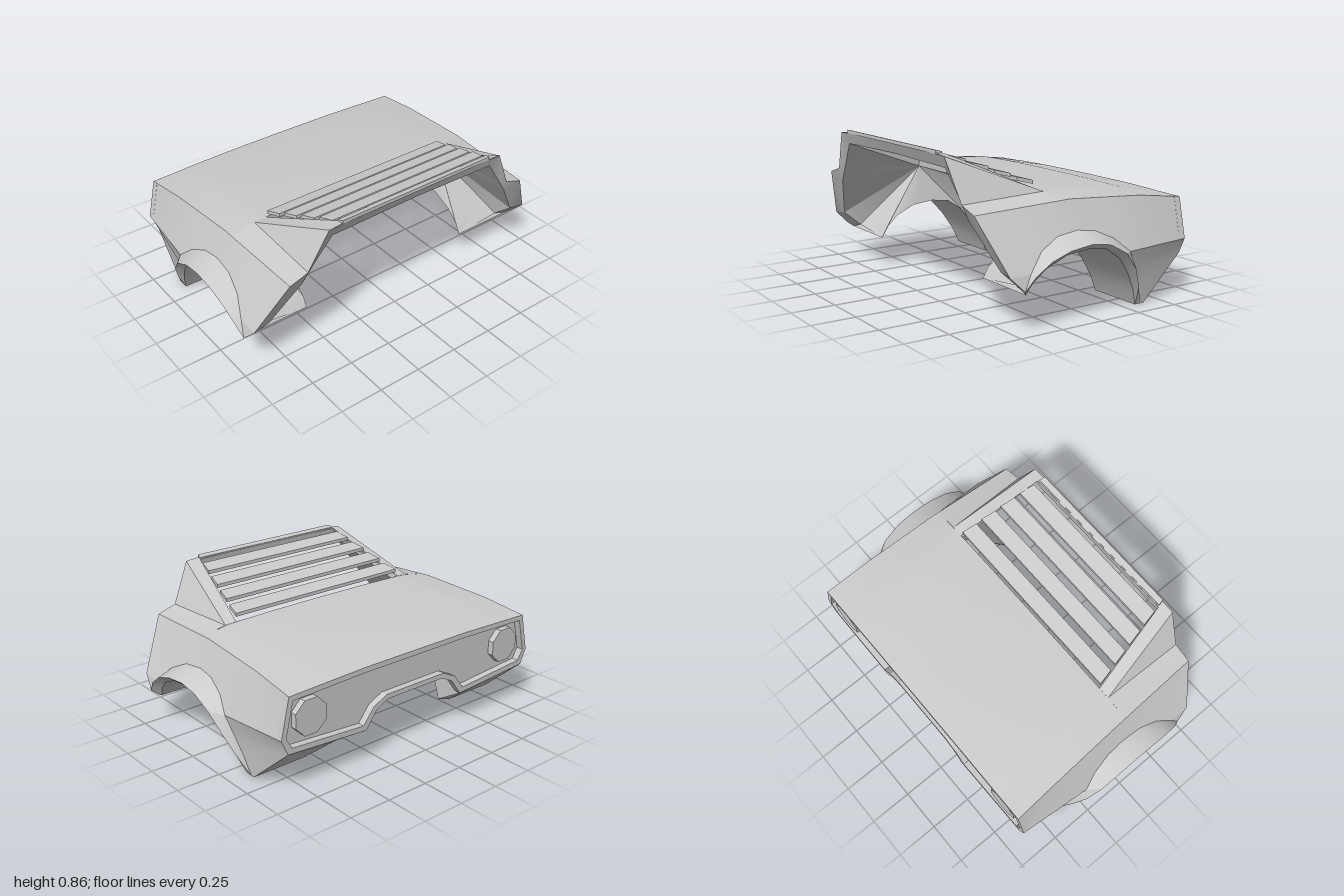
import * as THREE from 'three';
import { toCreasedNormals } from 'three/addons/utils/BufferGeometryUtils.js';

const material = new THREE.MeshStandardMaterial({ color: 0xcccccc, side: THREE.DoubleSide });

// Skin between rows of [x, y, z] points, with its mirror image in x
function loft(name, rows) {
  const pos = [];
  const tri = (...pts) => {
    const [a, b, c] = pts.map((p) => new THREE.Vector3(...p));
    if (b.clone().sub(a).cross(c.clone().sub(a)).length() < 1e-6) return;
    for (const p of pts) pos.push(...p);
    for (const i of [0, 2, 1]) pos.push(-pts[i][0], pts[i][1], pts[i][2]);
  };
  for (let r = 0; r + 1 < rows.length; r++) {
    for (let i = 0; i + 1 < rows[r].length; i++) {
      const a = rows[r][i], b = rows[r][i + 1], c = rows[r + 1][i + 1], d = rows[r + 1][i];
      tri(a, b, c);
      tri(a, c, d);
    }
  }
  const geo = new THREE.BufferGeometry();
  geo.setAttribute('position', new THREE.Float32BufferAttribute(pos, 3));
  const mesh = new THREE.Mesh(toCreasedNormals(geo, 0.4), material);
  mesh.name = name;
  return mesh;
}
const fan = (name, p, pts) => loft(name, [pts.map(() => p), pts]);

// Height and half width of the shoulder line along z
function shoulder(z) {
  const keys = [[0.63, 0.578], [0.07, 0.605], [-0.38, 0.58], [-0.66, 0.545]];
  let i = 0;
  while (i < 2 && z < keys[i + 1][0]) i++;
  const [z0, y0] = keys[i], [z1, y1] = keys[i + 1];
  return [0.79 + (0.63 - z) * 0.0465, y0 + ((y1 - y0) * (z - z0)) / (z1 - z0), z];
}

export function createModel() {
  const model = new THREE.Group();
  const add = (...m) => model.add(...m);

  // Rear deck, slightly crowned
  const deckRow = (z, top) => [[0, top, z], [0.36, top - 0.002, z], [0.6, top - 0.008, z], [0.67, top - 0.012, z], shoulder(z)];
  add(loft('rearDeck', [deckRow(-0.66, 0.562), deckRow(-0.38, 0.612), deckRow(0.07, 0.635), deckRow(0.13, 0.639)]));

  // Sloping window frame, side buttresses and shelves
  const deckIn = [0.6, 0.632, 0.13], deckOut = [0.67, 0.628, 0.13];
  const roofIn = [0.5, 0.845, 0.62], roofOut = [0.57, 0.84, 0.66], shelfIn = [0.68, 0.612, 0.63];
  add(loft('windowFrame', [[deckIn, roofIn, [0.3, 0.85, 0.62], [0, 0.851, 0.62]],
    [deckOut, roofOut, [0.36, 0.856, 0.66], [0, 0.858, 0.66]]]));
  add(fan('buttress', deckOut, [roofOut, shelfIn]));
  add(loft('shelf', [[deckOut, shelfIn], [shoulder(0.13), shoulder(0.63)]]));

  // Walls of the window opening
  const bay = [0.6, 0.59, 0.13], headIn = [0.53, 0.775, 0.63];
  add(loft('openingWall', [[[0, 0.639, 0.13], deckIn, roofIn, [0, 0.851, 0.62]],
    [[0, 0.59, 0.13], bay, headIn, [0, 0.785, 0.63]]]));

  // Louvre slats, narrowing towards the roof
  for (let i = 0; i < 5; i++) {
    const z0 = 0.139 + 0.122 * i, y0 = 0.676 + 0.0445 * i;
    const depth = i === 4 ? 0.034 : 0.088;
    const geo = new THREE.BoxGeometry(2, 0.02, depth);
    const p = geo.attributes.position;
    for (let k = 0; k < p.count; k++) {
      const t = p.getZ(k) + depth / 2;
      p.setXYZ(k, p.getX(k) * (0.595 - 0.2 * (z0 + t - 0.13)), p.getY(k) + y0 - 0.01 + t * 0.25, z0 + t);
    }
    geo.computeVertexNormals();
    const slat = new THREE.Mesh(geo, material);
    slat.name = 'louvreSlat';
    add(slat);
  }

  // Wheel arch curves as [z, y]: body crease, flare lip, tub edge
  const crease = [[0.41, 0.29], [0.315, 0.385], [0.2, 0.44], [0.07, 0.455], [-0.04, 0.44],
    [-0.15, 0.39], [-0.235, 0.315], [-0.285, 0.22], [-0.335, 0.11], [-0.39, 0]]
    .map(([z, y], i) => [i < 7 ? 0.95 - (y - 0.29) * 0.44 : 0.88 + y * 0.19, y, z]);
  const lip = [[0.455, 0.215], [0.405, 0.285], [0.315, 0.35], [0.2, 0.39], [0.07, 0.405],
    [-0.05, 0.388], [-0.165, 0.325], [-0.25, 0.225], [-0.31, 0.11], [-0.365, 0]]
    .map(([z, y]) => [0.88 + 0.12 * Math.sin(Math.min(1, y / 0.405) * Math.PI / 2), y, z]);
  const tub = [[0.42, 0.185], [0.39, 0.24], [0.315, 0.31], [0.2, 0.363], [0.07, 0.377],
    [-0.05, 0.36], [-0.15, 0.295], [-0.23, 0.2], [-0.295, 0.09], [-0.33, 0]]
    .map(([z, y]) => [0.88 + y * 0.24, y, z]);
  const tubIn = tub.map(([, y, z]) => [0.55, y, z]);
  add(loft('archFlare', [crease, lip, tub]));
  add(loft('wheelTub', [tub, tubIn]));

  // Side panels
  const doorLow = [0.95, 0.29, 0.53], sillEnd = [0.93, 0.185, 0.42];
  const tailSide = [0.9, 0.322, -0.66], tailLow = [0.86, 0.235, -0.66];
  add(loft('sidePanel', [[0.63, 0.45, 0.33, 0.2, 0.07, -0.04, -0.15, -0.38, -0.66].map(shoulder),
    [doorLow, ...crease.slice(0, 7), tailSide]]));
  add(fan('sillCorner', doorLow, [crease[0], lip[0], sillEnd]));
  add(loft('lowerQuarter', [crease.slice(6), [tailSide, [0.88, 0.28, -0.66], tailLow, tailLow]]));

  // Front rim around the open cabin end
  const rimIn = [[0, 0.785, 0.63], headIn, [0.64, 0.62, 0.61], [0.7, 0.53, 0.6], [0.855, 0.3, 0.52], [0.84, 0.215, 0.42]];
  add(loft('frontRim', [[[0, 0.858, 0.66], roofOut, shelfIn, shoulder(0.63), doorLow, sillEnd], rimIn]));

  // Inner bulkhead, bay walls and ceiling
  add(fan('bulkhead', bay, [...rimIn.slice(1), tubIn[0]]));
  add(fan('bayWall', bay, [...tubIn.slice(0, 8), [0.35, 0.2, -0.66], [0.28, 0.295, -0.66], [0.2, 0.335, -0.66]]));
  add(loft('bayCeiling', [[[0, 0.59, 0.13], bay], [[0, 0.335, -0.66], [0.2, 0.335, -0.66]]]));

  // Lower valance behind the wheels
  const foot = [0.43, 0.05, -0.42];
  add(loft('valance', [[tailLow, [0.55, 0.213, -0.66], [0.35, 0.2, -0.66]], [crease[9], [0.55, 0, -0.39], foot]]));
  add(loft('valanceFoot', [[tub[9], tubIn[9]], [crease[9], [0.55, 0, -0.39]]]));
  add(fan('valanceInner', foot, [[0.35, 0.2, -0.66], ...tubIn.slice(7), [0.55, 0, -0.39]]));

  // Tail: raised rim, recessed panel and octagonal lamps
  const loop = (half) => [...half, ...half.map(([x, y]) => [-x, y]).reverse()].map(([x, y]) => new THREE.Vector2(x, y));
  const outer = loop([[0.36, 0.56], [0.85, 0.545], [0.9, 0.322], [0.86, 0.235], [0.35, 0.2], [0.28, 0.295], [0.2, 0.335]]);
  const inner = loop([[0.36, 0.53], [0.825, 0.517], [0.87, 0.325], [0.835, 0.265], [0.37, 0.232], [0.3, 0.32], [0.21, 0.363]]);
  const rimShape = new THREE.Shape(outer);
  rimShape.holes.push(new THREE.Path(inner));
  const rim = new THREE.Mesh(new THREE.ExtrudeGeometry(rimShape, { depth: 0.04, bevelEnabled: false }), material);
  rim.name = 'tailRim';
  rim.position.z = -0.66;
  const panel = new THREE.Mesh(new THREE.ShapeGeometry(new THREE.Shape(inner)), material);
  panel.name = 'tailPanel';
  panel.position.z = -0.62;
  add(rim, panel);
  for (const side of [-1, 1]) {
    const geo = new THREE.CylinderGeometry(0.105, 0.105, 0.035, 8);
    geo.rotateY(Math.PI / 8).rotateX(Math.PI / 2);
    const lamp = new THREE.Mesh(toCreasedNormals(geo, 0.4), material);
    lamp.name = side > 0 ? 'leftTailLamp' : 'rightTailLamp';
    lamp.position.set(side * 0.71, 0.395, -0.638);
    add(lamp);
  }
  return model;
}
